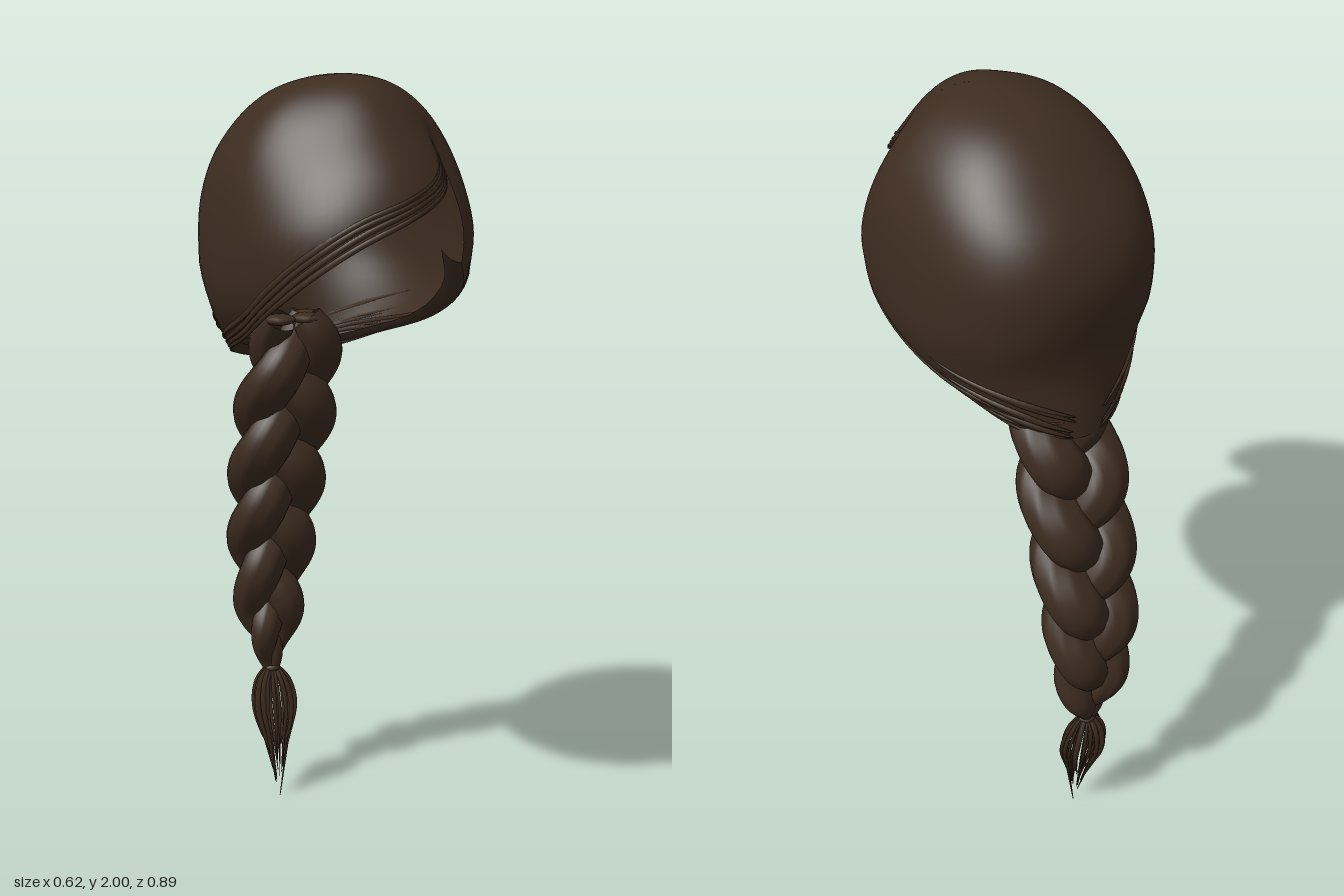
import * as THREE from 'three';

const hair = new THREE.MeshStandardMaterial({ color: 0x3d2c20, side: THREE.DoubleSide });
hair.name = 'dark brown hair';

let seed = 7;
const rand = (a = 0, b = 1) => {
  seed = (seed * 16807) % 2147483647;
  return a + (b - a) * seed / 2147483647;
};

// Smooth lookup through rows of [key, ...values]
function lookup(rows) {
  const n = rows[0].length - 1;
  const f = new THREE.CubicInterpolant(rows.map(r => r[0]), rows.flatMap(r => r.slice(1)), n, new Float32Array(n));
  return k => Array.from(f.evaluate(k));
}

// Surface over a grid of (u, v); wrap joins the last column to the first
function grid(nu, nv, fn, wrap = false) {
  const pos = [], idx = [], cols = wrap ? nv : nv + 1;
  for (let i = 0; i <= nu; i++)
    for (let j = 0; j < cols; j++) pos.push(...fn(i / nu, j / nv).toArray());
  for (let i = 0; i < nu; i++)
    for (let j = 0; j < nv; j++) {
      const a = i * cols + j, b = i * cols + (j + 1) % cols, c = a + cols, d = b + cols;
      idx.push(a, c, b, b, c, d);
    }
  const g = new THREE.BufferGeometry();
  g.setAttribute('position', new THREE.Float32BufferAttribute(pos, 3));
  g.setIndex(idx);
  g.computeVertexNormals();
  return g;
}

// Tube of varying elliptical section along path(t); size(t) = [width, depth]
function sweep(path, size, ref, nu, nv, grooves = 0) {
  return grid(nu, nv, (u, v) => {
    const p = path(u), e = 0.004;
    const tan = path(Math.min(1, u + e)).sub(path(Math.max(0, u - e))).normalize();
    const side = new THREE.Vector3().crossVectors(tan, ref).normalize();
    const up = new THREE.Vector3().crossVectors(side, tan);
    const a = -v * Math.PI * 2, [w, d] = size(u), k = 1 + grooves * Math.cos(8 * a);
    return p.addScaledVector(side, Math.cos(a) * w * k).addScaledVector(up, Math.sin(a) * d * k);
  }, true);
}

const Y = new THREE.Vector3(0, 1, 0), Z = new THREE.Vector3(0, 0, 1);
const { degToRad, smoothstep, lerp } = THREE.MathUtils;

// Head sections: height, half width, front z, back z, z of the widest point
const section = lookup([
  [2, 0, 0.11, 0.11, 0.11], [1.99, 0.08, 0.2, 0.01, 0.11], [1.96, 0.155, 0.26, -0.08, 0.1],
  [1.87, 0.245, 0.345, -0.2, 0.1], [1.78, 0.285, 0.415, -0.28, 0.1], [1.68, 0.305, 0.45, -0.315, 0.09],
  [1.58, 0.31, 0.445, -0.31, 0.08], [1.48, 0.3, 0.41, -0.29, 0.05], [1.4, 0.265, 0.3, -0.285, 0],
  [1.33, 0.2, 0.15, -0.29, -0.1], [1.25, 0.125, -0.05, -0.295, -0.2],
].map(([y, ...r]) => [Math.sqrt(2 - y), ...r]));

// Height of the hair edge by angle from the front, from the parting round the nape to the fringe
const A0 = 47, A1 = 407;
const rim = lookup([
  [47, 1.56], [60, 1.47], [72, 1.39], [90, 1.335], [120, 1.29], [180, 1.26], [240, 1.29], [270, 1.335],
  [288, 1.39], [300, 1.46], [315, 1.54], [335, 1.62], [360, 1.68], [380, 1.73], [396, 1.79], [407, 1.82],
]);

function headPoint(deg, y, scale = 1) {
  const [w, zf, zb, zc] = section(Math.sqrt(Math.max(0, 2 - y)));
  const a = degToRad(deg), c = Math.cos(a), corner = Math.sin(2 * a) ** 2;
  // the hair dips in at the parting
  const off = ((deg + 180) % 360) - 180 - 45;
  const dip = 1 - 0.1 * Math.exp(-off * off / 130) * smoothstep(2 - y, 0.06, 0.22);
  // fuller corners at the back and low in front, sloping corners high in front
  const full = c > 0 ? lerp(0.04, -0.08, smoothstep(y, 1.6, 1.85)) : 0.06 * smoothstep(y, 1.4, 1.55);
  const k = dip * scale * (1 + full * corner);
  return new THREE.Vector3(w * Math.sin(a) * k, y, zc + (c > 0 ? zf - zc : zc - zb) * c * k);
}

function makeCap() {
  const g = new THREE.Group();
  g.name = 'headHair';
  const at = v => A0 + (A1 - A0) * v;

  const shell = new THREE.Mesh(grid(36, 96, (u, v) => {
    const s = u * Math.sqrt(2 - rim(at(v))[0]);
    return headPoint(at(v), 2 - s * s);
  }), hair);
  shell.name = 'hairShell';
  g.add(shell);

  // Turned-in edge that gives the shell its thickness
  const lip = new THREE.Mesh(grid(4, 96, (u, v) => {
    const y = rim(at(v))[0];
    return headPoint(at(v), y + 0.03 * u * u, 1 - 0.17 * u);
  }), hair);
  lip.name = 'hairEdge';
  g.add(lip);

  // Fine locks following the edge of the fringe and both sides
  for (const [from, to] of [[50, 165], [195, 402]])
    for (let k = 0; k < 4; k++) {
      const lift = 0.002 + k * 0.017, w = rand(0.005, 0.009);
      const start = from + rand(0, 8), end = to - rand(0, 8);
      const lock = new THREE.Mesh(sweep(
        t => {
          const d = start + (end - start) * t;
          return headPoint(d, rim(d)[0] + lift + 0.006 * Math.sin(t * 9 + k));
        },
        t => { const s = w * Math.sqrt(Math.sin(Math.PI * (0.02 + 0.96 * t))); return [s * 0.5, s]; },
        Y, 48, 6), hair);
      lock.name = 'edgeLock';
      g.add(lock);
    }

  // Locks drawn in from both sides to gather at the nape
  for (const s of [-1, 1])
    for (let k = 0; k < 5; k++) {
      const from = rand(55, 80), to = rand(5, 25), top = 1.36 + k * 0.022, bottom = 1.27 + k * 0.014;
      const lock = new THREE.Mesh(sweep(
        t => headPoint(180 + s * lerp(from, to, t), lerp(top, bottom, t), 1 + 0.03 * t),
        t => { const r = 0.008 * Math.sin(Math.PI * (0.03 + 0.9 * t)); return [r * 0.6, r]; },
        Y, 20, 6), hair);
      lock.name = 'napeLock';
      g.add(lock);
    }
  return g;
}

// Braid by length: centre x, centre z, sway, strand thickness
const braidAt = lookup([
  [0, 0.02, -0.18, 0.06, 0.044], [0.1, 0.02, -0.205, 0.07, 0.062], [0.25, 0.02, -0.255, 0.075, 0.067],
  [0.4, 0.018, -0.295, 0.072, 0.067], [0.6, 0.024, -0.345, 0.066, 0.064], [0.73, 0.022, -0.36, 0.056, 0.058],
  [0.88, 0.016, -0.35, 0.042, 0.043], [1, 0.013, -0.335, 0.006, 0.015],
]);

function makeBraid() {
  const g = new THREE.Group();
  g.name = 'braid';
  for (let k = 0; k < 3; k++) {
    const angle = t => Math.PI * 2 * (1.75 * t + k / 3) + 0.3;
    const path = t => {
      const [x, z, sway] = braidAt(t), a = angle(t);
      return new THREE.Vector3(x + sway * Math.sin(a), 1.375 - 1.01 * t, z + 0.5 * sway * Math.sin(2 * a));
    };
    const size = t => {
      const r = braidAt(t)[3] * (0.92 + 0.12 * Math.abs(Math.sin(angle(t))));
      return [r, r * 0.84];
    };
    const strand = new THREE.Mesh(sweep(path, size, Z, 120, 32, 0.025), hair);
    strand.name = 'braidStrand';
    // Rounded strand root tucked into the nape
    const root = new THREE.Mesh(new THREE.SphereGeometry(0.042, 14, 8), hair);
    root.position.copy(path(0));
    root.scale.y = 0.35;
    root.name = 'strandRoot';
    g.add(strand, root);
  }
  const tie = new THREE.Mesh(new THREE.TorusGeometry(0.016, 0.008, 8, 16), hair);
  tie.rotation.x = Math.PI / 2;
  tie.position.set(0.013, 0.368, -0.335);
  tie.name = 'braidTie';
  g.add(tie);
  return g;
}

// Loose tuft: tapered locks that bulge out, leaving gaps, and meet in a point
function makeTuft() {
  const g = new THREE.Group();
  g.name = 'braidTuft';
  for (let k = 0; k < 20; k++) {
    const a = k * 2.4, out = rand(0.75, 1.05), end = k === 0 ? 0 : rand(0.02, 0.16), w = rand(0.005, 0.011);
    const c = Math.cos(a) * out, s = Math.sin(a) * out;
    const tipZ = -0.285 - end * 0.12;
    const curve = new THREE.CatmullRomCurve3([
      new THREE.Vector3(0.013 + 0.01 * c, 0.375, -0.335 + 0.01 * s),
      new THREE.Vector3(0.014 + 0.05 * c, 0.33, -0.335 + 0.035 * s),
      new THREE.Vector3(0.015 + 0.066 * c, 0.26, -0.327 + 0.045 * s),
      new THREE.Vector3(0.013 + 0.045 * c, 0.18, -0.312 + 0.03 * s),
      new THREE.Vector3(0.012 + 0.02 * c * (k ? 1 : 0), end, tipZ + 0.008 * s),
    ]);
    const lock = new THREE.Mesh(sweep(t => curve.getPoint(t),
      t => { const r = w * (0.15 + 0.85 * Math.sin(Math.PI * (0.25 + 0.75 * t))); return [r, r * 0.6]; },
      Z, 20, 5), hair);
    lock.name = 'tuftLock';
    g.add(lock);
  }
  return g;
}

export function createModel() {
  const model = new THREE.Group();
  model.name = 'braidedHair';
  model.add(makeCap(), makeBraid(), makeTuft());
  return model;
}
